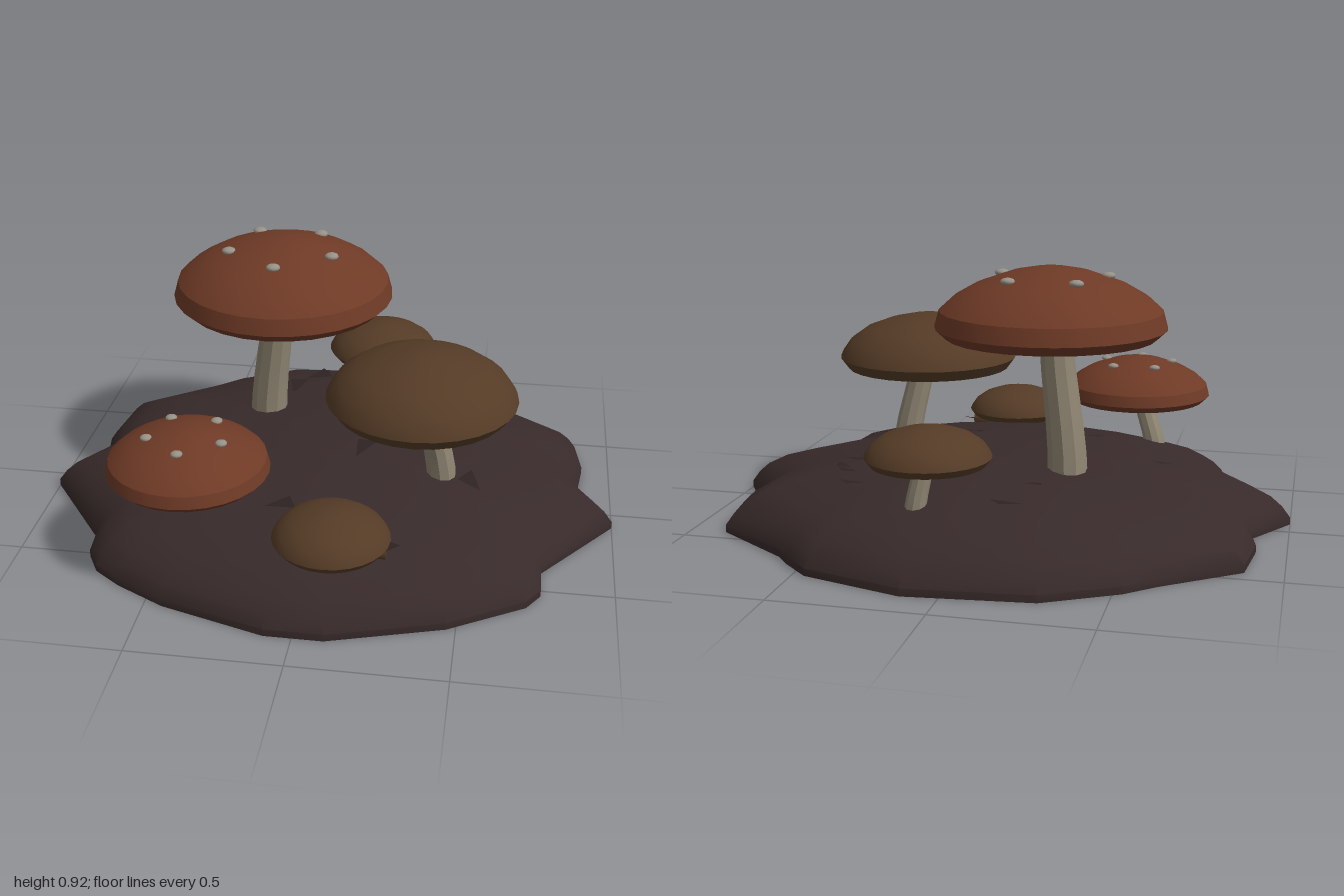
import * as THREE from 'three';
import { toCreasedNormals } from 'three/addons/utils/BufferGeometryUtils.js';

const flat = (name, color) => Object.assign(new THREE.MeshStandardMaterial({ color }), { name });

// Mound rim as x, z pairs, from the left tip round by the front
const RIM = [
  1, .085, .76, .4, .76, .53, .715, .6, .47, .75, .1, .865, -.09, .865, -.44, .76, -.61, .67,
  -.705, .6, -.75, .52, -.76, .41, -1, .085, -.875, -.11, -.9, -.24, -.875, -.44, -.625, -.625,
  -.53, -.71, -.295, -.84, .12, -.88, .46, -.78, .555, -.69, .6, -.635, .875, -.44, .9, -.28, .88, -.11,
];
// Mound cross-section: share of rim radius, height
const SLOPE = [[1, .025], [.97, .065], [.93, .1], [.85, .14], [.73, .175], [.6, .205], [.4, .235], [.2, .252], [0, .258]];

function groundY(x, z) {
  const t = Math.min(Math.hypot(x, z) / .88, .999);
  const i = SLOPE.findIndex(p => p[0] <= t);
  const [t1, y1] = SLOPE[i], [t0, y0] = SLOPE[i - 1];
  return THREE.MathUtils.mapLinear(t, t0, t1, y0, y1);
}

function moundGeometry() {
  const rings = [[0, 0], [1, 0], ...SLOPE], n = RIM.length / 2, pos = [], index = [];
  rings.forEach(([t, y], k) => {
    for (let j = 0; j < n; j++) {
      pos.push(RIM[2 * j] * t, y, RIM[2 * j + 1] * t);
      if (k === rings.length - 1) continue;
      const a = k * n + j, b = k * n + (j + 1) % n, d = a + n, c = b + n;
      if (k > 0) index.push(a, d, b);
      if (k < rings.length - 2) index.push(b, d, c);
    }
  });
  const g = new THREE.BufferGeometry();
  g.setAttribute('position', new THREE.Float32BufferAttribute(pos, 3));
  g.setIndex(index);
  return toCreasedNormals(g, .6);
}

// Cap profiles: share of radius, share of height, from under the cap to its crown
const UNDER = [[0, .2], [.6, .2], [.91, 0]];
const TALL = [...UNDER, [1, .14], [.96, .38], [.84, .56], [.65, .74], [.34, .92], [.15, .98], [0, 1]];
const BROAD = [...UNDER, [1, .2], [.97, .31], [.88, .52], [.7, .73], [.45, .88], [.2, .97], [0, 1]];

function capHeight(profile, r) {
  const i = profile.findIndex((p, k) => k > 3 && p[0] <= r);
  const [r1, y1] = profile[i], [r0, y0] = profile[i - 1];
  return THREE.MathUtils.mapLinear(r, r0, r1, y0, y1);
}

function stemGeometry(base, top, rBase, rTop) {
  const g = new THREE.CylinderGeometry(rTop, rBase, 1, 10, 6);
  const p = g.attributes.position;
  for (let i = 0; i < p.count; i++) {
    const t = p.getY(i) + .5, lean = t * t * (3 - 2 * t);
    p.setXYZ(i,
      p.getX(i) + THREE.MathUtils.lerp(base.x, top.x, lean),
      THREE.MathUtils.lerp(base.y, top.y, t),
      p.getZ(i) + THREE.MathUtils.lerp(base.z, top.z, lean));
  }
  return toCreasedNormals(g, .5);
}

export function createModel() {
  const soil = flat('dark soil', 0x382a2a);
  const red = flat('rust red cap', 0x6e3a26);
  const brown = flat('brown cap', 0x543b26);
  const pale = flat('pale stem', 0x8f8572);
  const dot = flat('grey spot', 0x979186);
  const leaf = flat('dead leaf', 0x2e2323);
  leaf.side = THREE.DoubleSide;

  const model = new THREE.Group();
  const add = (parent, name, geometry, material) => {
    const m = new THREE.Mesh(geometry, material);
    m.name = name;
    parent.add(m);
    return m;
  };

  add(model, 'mound', moundGeometry(), soil);

  // Mushrooms: cap centre x, z, radius, underside y, crown y; stem foot x, z, radii
  const mushrooms = [
    { name: 'tallRedMushroom', x: -.2, z: -.18, R: .387, y0: .68, y1: .915, fx: -.267, fz: -.205, rb: .068, rt: .054, spots: .19, s: .025 },
    { name: 'smallRedMushroom', x: -.405, z: .475, R: .27, y0: .333, y1: .497, fx: -.485, fz: .425, rb: .04, rt: .036, spots: .13, s: .02 },
    { name: 'broadBrownMushroom', x: .33, z: .187, R: .322, y0: .483, y1: .68, fx: .405, fz: .157, rb: .052, rt: .044 },
    { name: 'backBrownMushroom', x: .12, z: -.55, R: .205, y0: .323, y1: .445, fx: .16, fz: -.57, rb: .036, rt: .032 },
    { name: 'frontBrownMushroom', x: .09, z: .63, R: .19, y0: .21, y1: .325, fx: .03, fz: .625, rb: .03, rt: .028 },
  ];
  for (const m of mushrooms) {
    const group = new THREE.Group();
    group.name = m.name;
    model.add(group);
    const h = m.y1 - m.y0, profile = m.spots ? TALL : BROAD;

    const points = profile.map(([r, y]) => new THREE.Vector2(r * m.R, y * h));
    const cap = add(group, 'cap', toCreasedNormals(new THREE.LatheGeometry(points, 28), .5), m.spots ? red : brown);
    cap.position.set(m.x, m.y0, m.z);

    const foot = new THREE.Vector3(m.fx, groundY(m.fx, m.fz) - .04, m.fz);
    const head = new THREE.Vector3(
      THREE.MathUtils.lerp(m.fx, m.x, .75), m.y0 + h * .3, THREE.MathUtils.lerp(m.fz, m.z, .75));
    add(group, 'stem', stemGeometry(foot, head, m.rb, m.rt), pale);

    // Five flattened spots in a ring on the red caps
    for (let i = 0; m.spots && i < 5; i++) {
      const a = i * Math.PI * 2 / 5;
      const spot = add(group, 'spot', new THREE.SphereGeometry(m.s, 10, 6), dot);
      spot.scale.y = .5;
      spot.position.set(m.x + Math.sin(a) * m.spots, m.y0 + h * capHeight(profile, m.spots / m.R) + .004, m.z + Math.cos(a) * m.spots);
    }
  }

  // Short twig lying under the front mushroom
  const twig = add(model, 'twig', new THREE.CylinderGeometry(.02, .024, .33, 8), brown);
  twig.rotation.z = Math.PI / 2;
  twig.position.set(.1, .183, .62);

  // Flat triangular leaf scraps scattered on the soil: x, z, turn
  const scraps = [
    [.42, -.42, .3], [.47, -.31, .1], [.5, -.26, -.3], [.475, -.2, .8], [.28, -.365, .5], [-.565, .03, .4],
    [-.1, .45, 0], [-.13, -.55, .2], [-.2, -.4, 1.2], [.5, .2, 2], [.12, .1, 1], [-.3, .2, 2.4], [.25, .6, .7],
  ];
  const blade = new THREE.Shape([[-.055, -.02], [.05, -.03], [.02, .035]].map(p => new THREE.Vector2(...p)));
  for (const [x, z, turn] of scraps) {
    const scrap = add(model, 'leafScrap', new THREE.ShapeGeometry(blade).rotateX(-Math.PI / 2), leaf);
    scrap.position.set(x, groundY(x, z) + .015, z);
    scrap.rotation.set(.12, turn, .1);
  }
  return model;
}
